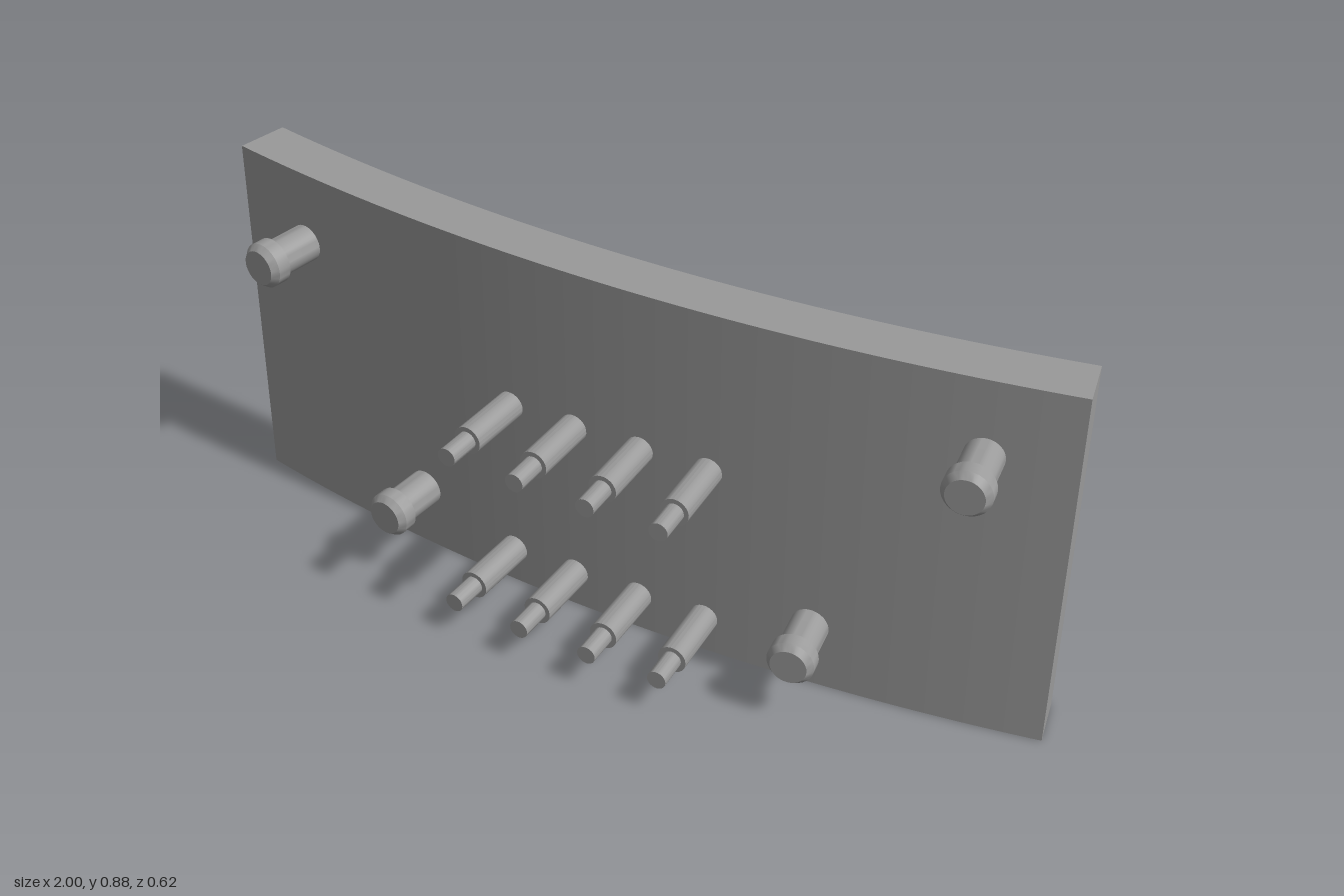
import * as THREE from 'three';
import { toCreasedNormals } from 'three/addons/utils/BufferGeometryUtils.js';

const HEIGHT = 0.876, THICK = 0.121;
const R = 4.96, CX = 0.68, CZ = -4.865; // front face arc: radius and centre in plan

const material = new THREE.MeshStandardMaterial({ color: 0x9a9a9a });

// Turned part along +y from [radius, height] pairs, starting just inside the plate
function turned(profile, sides) {
  const points = profile.map(([r, h]) => new THREE.Vector2(r, h));
  return toCreasedNormals(new THREE.LatheGeometry(points, sides), 0.5);
}

// Stand a part on the curved front face, pointing outwards at the given tilt
function mount(group, geometry, name, x, y, tilt) {
  const mesh = new THREE.Mesh(geometry, material);
  mesh.name = name;
  const z = CZ + Math.sqrt(R * R - (x - CX) ** 2);
  mesh.position.set(x, y, z);
  mesh.quaternion.setFromUnitVectors(
    new THREE.Vector3(0, 1, 0),
    new THREE.Vector3(Math.sin(tilt), 0, Math.cos(tilt)));
  group.add(mesh);
}

export function createModel() {
  const model = new THREE.Group();
  model.name = 'curvedPlateWithPins';
  const normalTilt = (x) => Math.asin((x - CX) / R);

  // Curved plate: a ring sector in plan, extruded upwards
  const a0 = normalTilt(-1) - Math.PI / 2, a1 = normalTilt(1) - Math.PI / 2;
  const plan = new THREE.Shape();
  plan.absarc(CX, -CZ, R, a0, a1, false);
  plan.absarc(CX, -CZ, R - THICK, a1, a0, true);
  plan.closePath();
  const plateGeometry = new THREE.ExtrudeGeometry(plan, { depth: HEIGHT, bevelEnabled: false, curveSegments: 40 });
  plateGeometry.rotateX(-Math.PI / 2);
  const plate = new THREE.Mesh(toCreasedNormals(plateGeometry, 0.5), material);
  plate.name = 'curvedPlate';
  model.add(plate);

  // Four headed studs near the corners; the two on the -x side lean with the curve
  const stud = turned([[0, -0.02], [0.043, -0.02], [0.043, 0.098], [0.053, 0.1],
    [0.053, 0.132], [0.041, 0.147], [0, 0.147]], 32);
  for (const [x, y] of [[-0.818, 0.698], [-0.505, 0.158], [0.478, 0.158], [0.81, 0.698]])
    mount(model, stud, 'stud', x, y, x < 0 ? normalTilt(x) : 0);

  // Two rows of stepped pins
  const pin = turned([[0, -0.02], [0.033, -0.02], [0.033, 0.16], [0.022, 0.16],
    [0.022, 0.235], [0, 0.235]], 24);
  for (const y of [0.091, 0.489])
    for (const x of [-0.255, -0.093, 0.069, 0.231])
      mount(model, pin, 'steppedPin', x, y, normalTilt(x));

  return model;
}
